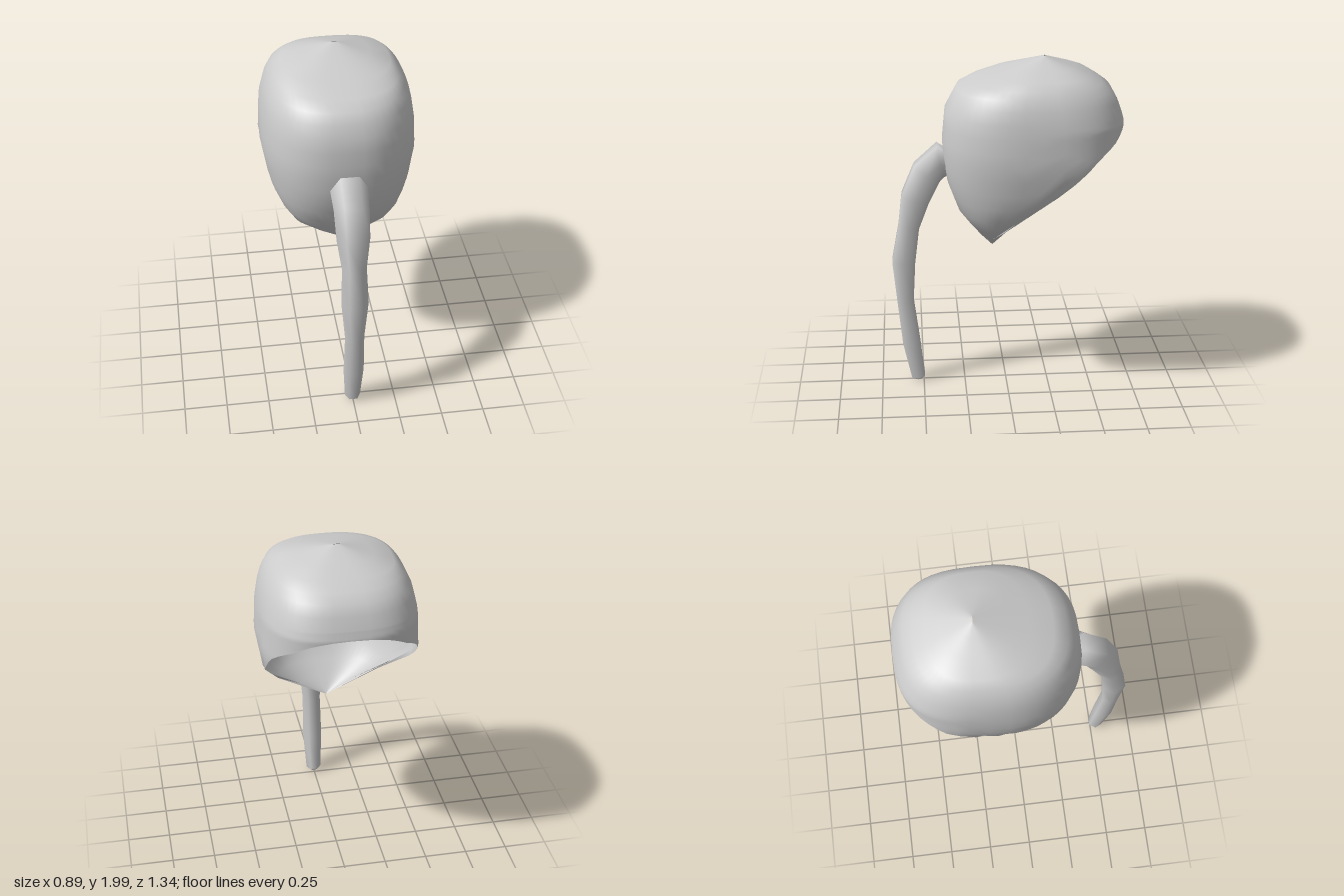
import * as THREE from 'three';

// Piecewise-linear lookup in a list of [key, value] pairs with rising keys
function lookup(table, k) {
  if (k <= table[0][0]) return table[0][1];
  for (let i = 1; i < table.length; i++) {
    const [k0, v0] = table[i - 1], [k1, v1] = table[i];
    if (k <= k1) return v0 + (v1 - v0) * (k - k0) / (k1 - k0);
  }
  return table[table.length - 1][1];
}

// Skin a list of closed rings, ordered from top to bottom
function loft(rings) {
  const n = rings[0].length, pos = [], index = [];
  rings.forEach((ring) => ring.forEach((p) => pos.push(...p)));
  for (let i = 0; i < rings.length - 1; i++) {
    for (let j = 0; j < n; j++) {
      const a = i * n + j, b = i * n + (j + 1) % n;
      index.push(a, a + n, b + n, a, b + n, b);
    }
  }
  const g = new THREE.BufferGeometry();
  g.setAttribute('position', new THREE.Float32BufferAttribute(pos, 3));
  g.setIndex(index);
  g.computeVertexNormals();
  return g;
}

// Hood outline by height: front z, back z, z of the widest point, half width
const FRONT = [[0.87, 0.08], [1, 0.185], [1.12, 0.28], [1.3, 0.347], [1.5, 0.37], [1.7, 0.35], [1.85, 0.27], [2, -0.22]];
const BACK = [[0.87, 0.07], [1, -0.3], [1.22, -0.6], [1.4, -0.66], [1.65, -0.67], [1.72, -0.65], [1.82, -0.61], [1.9, -0.5], [1.95, -0.38], [2, -0.225]];
const MIDDLE = [[0.87, 0.078], [1, 0.06], [1.1, -0.02], [1.22, -0.14], [1.4, -0.19], [1.65, -0.18], [1.85, -0.17], [2, -0.222]];
const WIDTH = [[0.87, 0], [0.9, 0.07], [1.05, 0.3], [1.12, 0.345], [1.23, 0.405], [1.45, 0.445], [1.65, 0.435], [1.8, 0.4], [1.87, 0.35], [1.91, 0.31], [2, 0.02]];
// Height of the slanted opening by z
const RIM = [[-0.67, 1.65], [-0.6, 1.57], [-0.5, 1.5], [-0.4, 1.4], [-0.3, 1.31], [-0.15, 1.22], [0.07, 1], [0.08, 0.87]];

// Rounded-square slice of the hood
function hoodPoint(phi, y) {
  const s = Math.sin(phi), c = Math.cos(phi), mid = lookup(MIDDLE, y);
  const e = 2 / (c > 0 ? 2.5 : 2.8);
  const reach = lookup(c > 0 ? FRONT : BACK, y) - mid;
  return [
    Math.sign(s) * Math.abs(s) ** e * lookup(WIDTH, y),
    y,
    mid + Math.abs(c) ** e * reach,
  ];
}

function hoodGeometry() {
  const sides = 48, lowerSteps = 10;
  const angles = Array.from({ length: sides }, (_, j) => j / sides * Math.PI * 2);
  // Each meridian runs down until it meets the opening
  const ends = angles.map((phi) => {
    let y = 1.7;
    while (y > 0.87 && y > lookup(RIM, hoodPoint(phi, y)[2])) y -= 0.004;
    return Math.max(y, 0.87);
  });
  const rings = [2, 1.975, 1.945, 1.91, 1.87, 1.83, 1.77, 1.7].map(
    (y) => angles.map((phi) => hoodPoint(phi, y)));
  for (let i = 1; i <= lowerSteps; i++) {
    rings.push(angles.map((phi, j) => hoodPoint(phi, 1.7 + (ends[j] - 1.7) * i / lowerSteps)));
  }
  return loft(rings);
}

// Six-sided hanging trunk: [y, z, radius] along its path
function trunkGeometry() {
  const path = [
    [1.37, 0.28, 0.002], [1.37, 0.285, 0.05], [1.4, 0.38, 0.108], [1.325, 0.46, 0.1],
    [1.17, 0.53, 0.094], [1, 0.57, 0.07], [0.78, 0.605, 0.078], [0.53, 0.6, 0.056],
    [0.26, 0.57, 0.06], [0.03, 0.533, 0.046], [0.01, 0.532, 0.022], [0.008, 0.532, 0.001],
  ];
  const rings = path.map(([y, z, r], i) => {
    const a = path[Math.max(i - 1, 0)], b = path[Math.min(i + 1, path.length - 1)];
    let ty = b[0] - a[0], tz = b[1] - a[1];
    // The root section leans with the hood wall
    if (i === 2) { ty = -0.2; tz = 0.98; }
    const len = Math.hypot(ty, tz);
    return Array.from({ length: 6 }, (_, j) => {
      const t = (j + 0.5) / 6 * Math.PI * 2, c = Math.cos(t) * r;
      return [Math.sin(t) * r, y + c * tz / len, z - c * ty / len];
    });
  });
  return loft(rings);
}

export function createModel() {
  const model = new THREE.Group();
  model.name = 'trunkedHood';
  const grey = new THREE.MeshStandardMaterial({ color: 0xcccccc, side: THREE.DoubleSide });
  grey.name = 'light grey';

  const hood = new THREE.Mesh(hoodGeometry(), grey);
  hood.name = 'hoodShell';
  const trunk = new THREE.Mesh(trunkGeometry(), grey);
  trunk.name = 'trunk';
  model.add(hood, trunk);
  return model;
}
